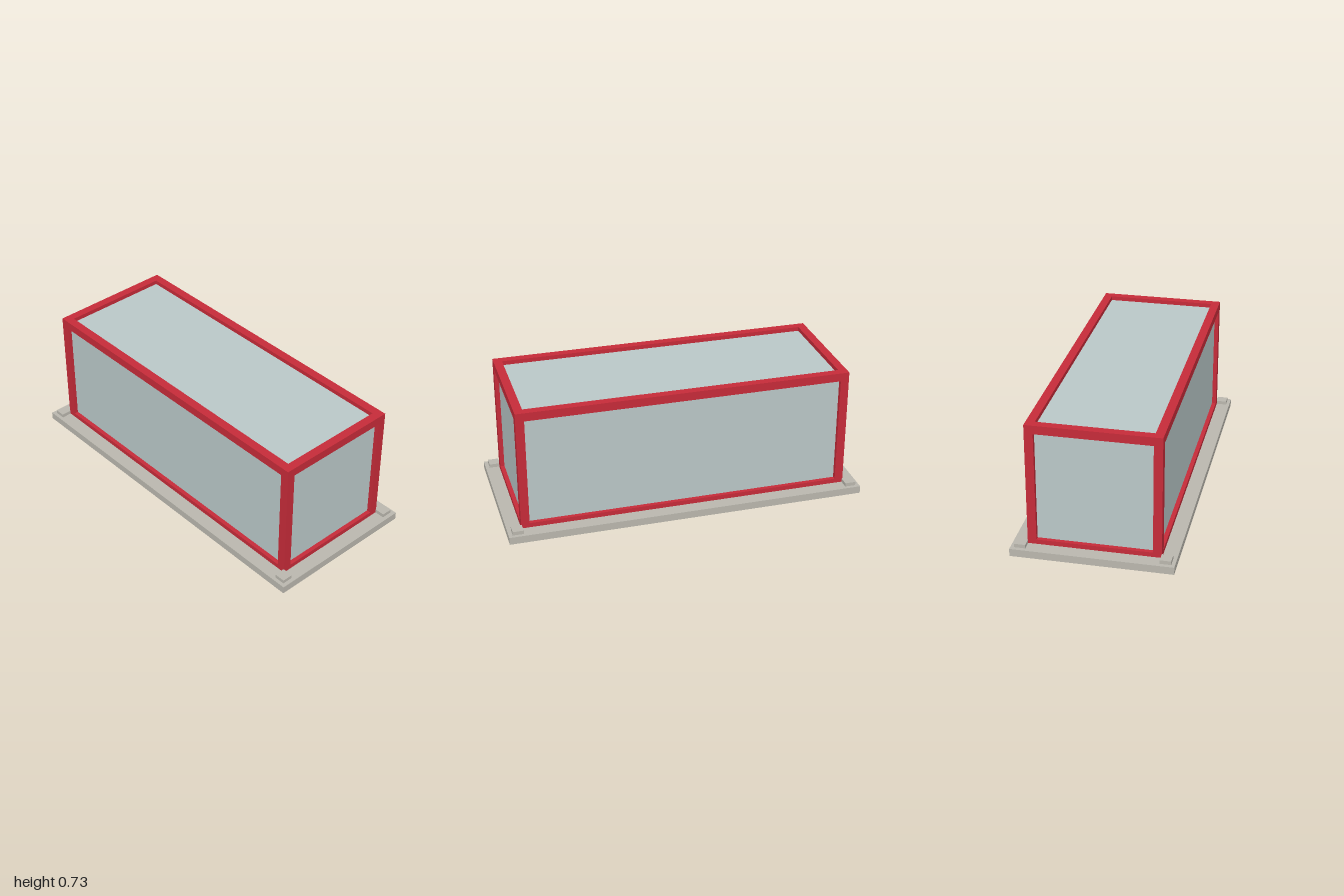
import * as THREE from 'three';

const material = (name, color) => {
  const m = new THREE.MeshStandardMaterial({ color });
  m.name = name;
  return m;
};

export function createModel() {
  const red = material('red frame', 0xc62b39);
  const glass = material('pale glass', 0xbac8c8);
  const stone = material('grey concrete', 0xbab7ae);

  const model = new THREE.Group();
  model.name = 'glazedPavilion';

  const box = (name, mat, size, pos, parent = model) => {
    const mesh = new THREE.Mesh(new THREE.BoxGeometry(...size), mat);
    mesh.name = name;
    mesh.position.set(...pos);
    parent.add(mesh);
  };

  // Base slab
  box('baseSlab', stone, [2, 0.042, 0.864], [0, 0.021, 0]);

  // Square pads at the slab corners
  for (const x of [-1, 1]) for (const z of [-1, 1])
    box('cornerPad', stone, [0.06, 0.021, 0.06], [x * 0.948, 0.052, z * 0.382]);

  // Frame: its bottom rails are half sunk into the slab
  const W = 1.844, H = 0.706, D = 0.708, bar = 0.047, midY = 0.3735;
  const cx = (W - bar) / 2, cy = (H - bar) / 2, cz = (D - bar) / 2;
  const frame = new THREE.Group();
  frame.name = 'frame';
  model.add(frame);
  for (const a of [-1, 1]) for (const b of [-1, 1]) {
    box('cornerPost', red, [bar, H, bar], [a * cx, midY, b * cz], frame);
    box('longRail', red, [W - 2 * bar, bar, bar], [0, midY + a * cy, b * cz], frame);
    box('endRail', red, [bar, bar, D - 2 * bar], [a * cx, midY + b * cy, 0], frame);
  }

  // Glazing, set back to the middle of the bars
  box('glazing', glass, [2 * cx, 2 * cy, 2 * cz], [0, midY, 0]);

  return model;
}
